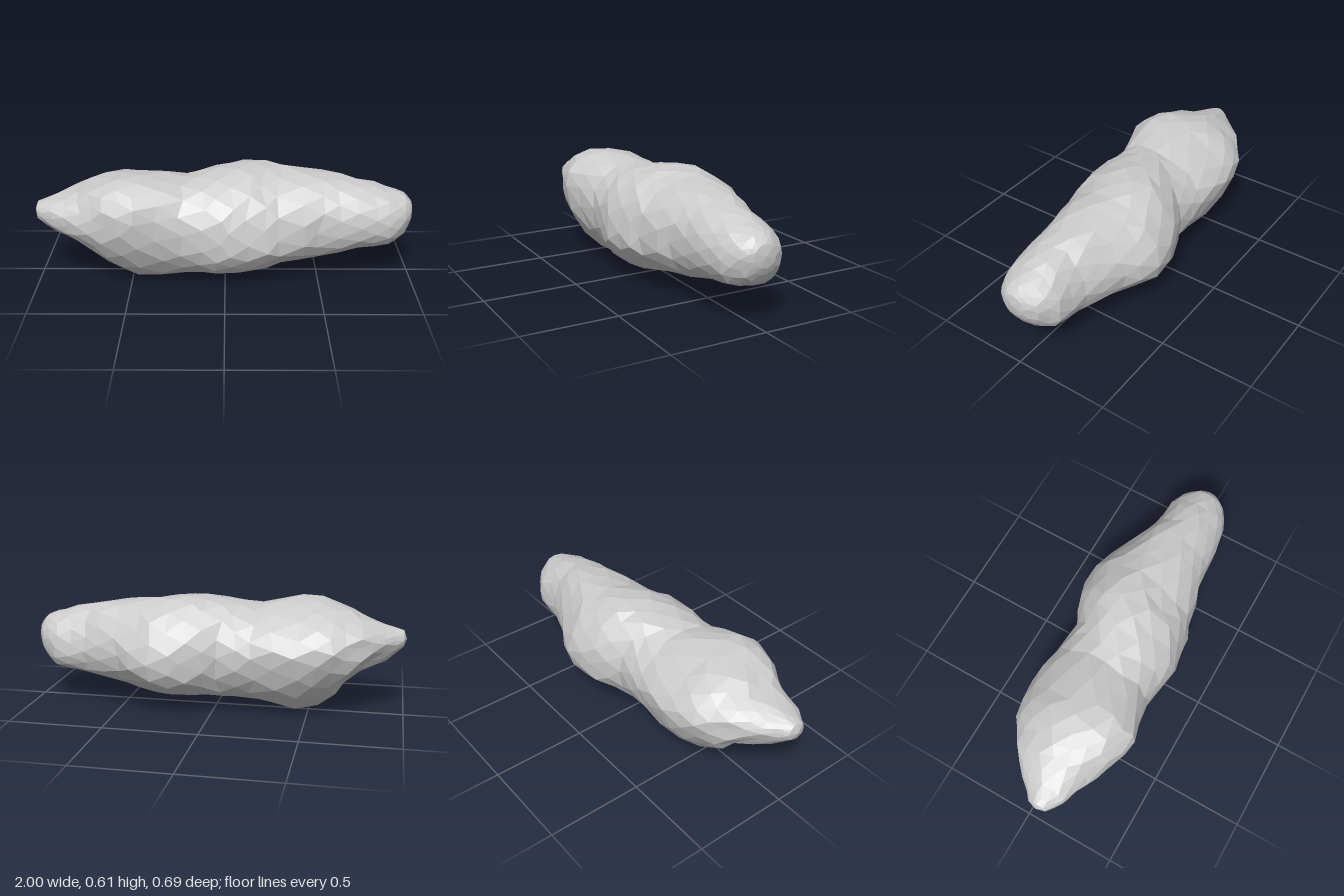
import * as THREE from 'three';

// Key cross-sections:
// [x, topY, topZ, frontZ, frontY, bottomY, bottomZ, backZ, backY, underside power]
const KEYS = [
  [-0.985, 0.445, 0.08, 0.13, 0.40, 0.355, 0.09, 0.03, 0.40, 0.9],
  [-0.89, 0.475, 0.06, 0.19, 0.39, 0.285, 0.08, -0.06, 0.40, 0.9],
  [-0.76, 0.525, 0.05, 0.235, 0.37, 0.23, 0.05, -0.175, 0.40, 0.9],
  [-0.63, 0.58, 0.08, 0.30, 0.39, 0.09, 0.04, -0.255, 0.38, 1.1],
  [-0.45, 0.60, 0.11, 0.345, 0.42, 0.0, 0.03, -0.29, 0.36, 1.15],
  [-0.22, 0.57, 0.03, 0.295, 0.34, 0.045, 0.05, -0.27, 0.34, 0.95],
  [-0.04, 0.60, -0.02, 0.325, 0.30, 0.058, 0.06, -0.255, 0.33, 0.85],
  [0.12, 0.615, -0.07, 0.315, 0.29, 0.06, 0.04, -0.325, 0.31, 0.9],
  [0.29, 0.595, -0.06, 0.27, 0.30, 0.085, 0.0, -0.345, 0.30, 0.9],
  [0.50, 0.575, -0.03, 0.22, 0.32, 0.115, 0.0, -0.26, 0.32, 0.9],
  [0.70, 0.535, -0.01, 0.20, 0.34, 0.165, -0.02, -0.185, 0.31, 0.85],
  [0.86, 0.50, -0.01, 0.175, 0.34, 0.185, -0.02, -0.165, 0.32, 0.85],
  [0.95, 0.465, 0.0, 0.125, 0.36, 0.235, 0.0, -0.105, 0.35, 0.9],
  [0.99, 0.425, 0.01, 0.07, 0.37, 0.31, 0.01, -0.045, 0.36, 1],
];
const ROWS = KEYS.length * 2 - 1;
const SIDES = 16;

// One spline per column blends the key sections along the length
const columns = KEYS[0].map((_, k) =>
  new THREE.SplineCurve(KEYS.map((key, i) => new THREE.Vector2(i, key[k]))));

// Repeatable pseudo-random value in -1..1
function noise(i, j) {
  const s = Math.sin(i * 127.1 + j * 311.7 + 4.2) * 43758.5453;
  return (s - Math.floor(s)) * 2 - 1;
}

// Point [z, y] on a section, t = 0..4 going top, front, bottom, back
function sectionPoint([, ty, tz, fz, fy, by, bz, kz, ky, under], t) {
  const ends = [[tz, ty], [fz, fy], [bz, by], [kz, ky]];
  const powers = [0.92, under, under, 1.1]; // fullness of each quarter
  const q = Math.floor(t);
  const a = (t - q) * Math.PI / 2;
  const c = Math.pow(Math.cos(a), powers[q]);
  const s = Math.pow(Math.sin(a), powers[q]);
  const p = ends[q], n = ends[(q + 1) % 4];
  return q % 2 === 0
    ? [p[0] + (n[0] - p[0]) * s, n[1] + (p[1] - n[1]) * c]
    : [n[0] + (p[0] - n[0]) * c, p[1] + (n[1] - p[1]) * s];
}

function rockGeometry() {
  const pos = [], index = [];

  // Staggered rings, slightly roughened
  for (let i = 0; i < ROWS; i++) {
    const sec = columns.map((curve) => curve.getPoint(i / (ROWS - 1)).y);
    const midY = (sec[1] + sec[5]) / 2, midZ = (sec[3] + sec[7]) / 2;
    const slide = 0.025 * (1 - Math.pow(sec[0], 4));
    for (let j = 0; j < SIDES; j++) {
      const [z, y] = sectionPoint(sec, ((j + (i % 2) * 0.5) * 4) / SIDES);
      const k = 1 + 0.022 * noise(i, j);
      pos.push(
        sec[0] + slide * noise(j + 31, i),
        Math.max(0, midY + (y - midY) * k),
        midZ + (z - midZ) * k
      );
    }
  }

  // Skin between rings
  for (let i = 0; i < ROWS - 1; i++) {
    for (let j = 0; j < SIDES; j++) {
      const n = (j + 1) % SIDES;
      const a = i * SIDES + j, b = i * SIDES + n;
      const c = a + SIDES, d = b + SIDES;
      if (i % 2 === 0) index.push(a, b, c, b, d, c);
      else index.push(a, b, d, a, d, c);
    }
  }

  // Closed tips
  const left = ROWS * SIDES, right = left + 1, last = (ROWS - 1) * SIDES;
  pos.push(-1, 0.40, 0.08, 1, 0.37, 0.01);
  for (let j = 0; j < SIDES; j++) {
    const n = (j + 1) % SIDES;
    index.push(left, n, j, right, last + j, last + n);
  }

  const geo = new THREE.BufferGeometry();
  geo.setAttribute('position', new THREE.Float32BufferAttribute(pos, 3));
  geo.setIndex(index);
  const flat = geo.toNonIndexed();
  flat.computeVertexNormals();
  return flat;
}

export function createModel() {
  const group = new THREE.Group();
  group.name = 'asteroid';
  const rock = new THREE.Mesh(
    rockGeometry(),
    new THREE.MeshStandardMaterial({ color: 0xcccccc, flatShading: true })
  );
  rock.name = 'rockBody';
  group.add(rock);
  return group;
}
